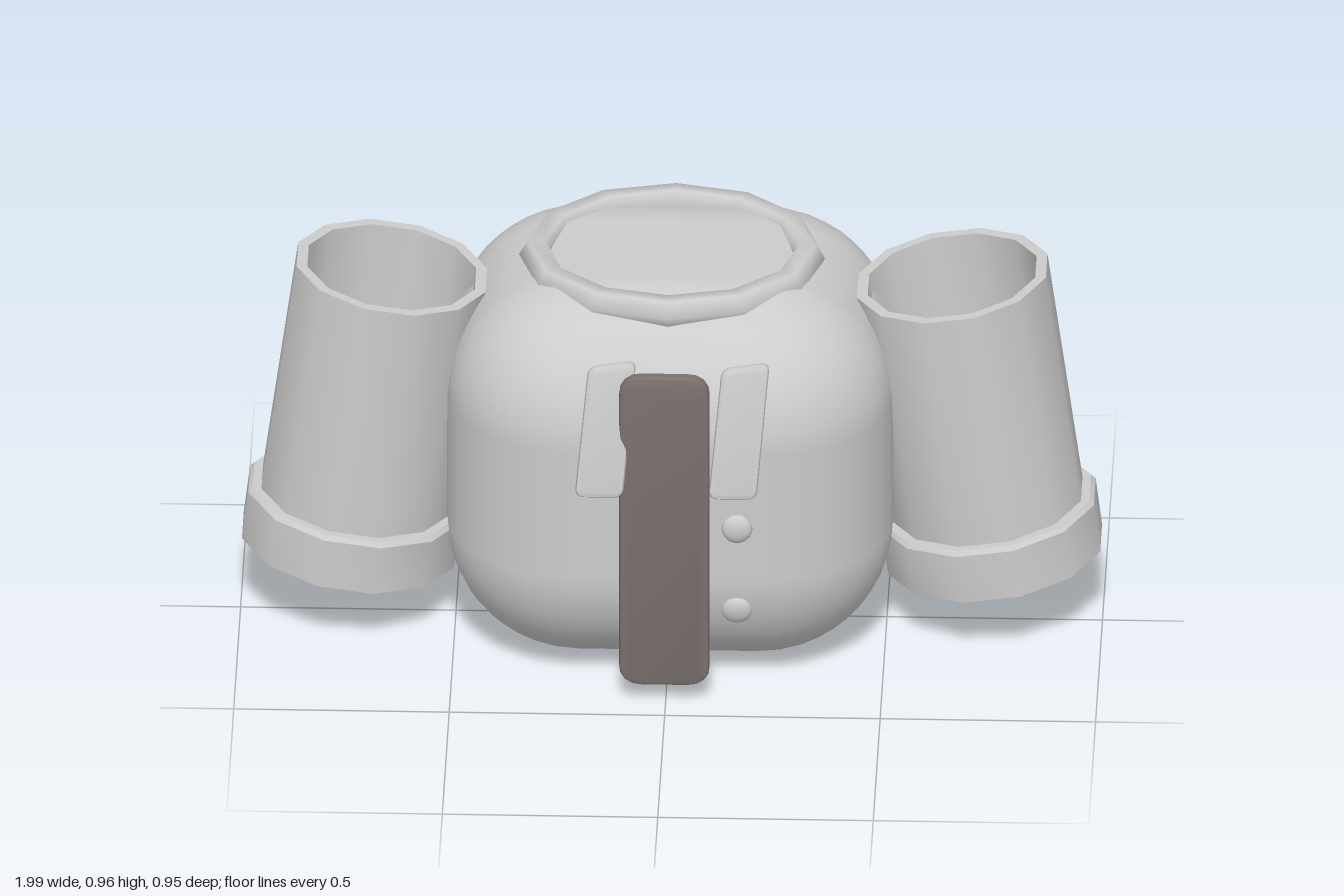
import * as THREE from 'three';
import { toCreasedNormals } from 'three/addons/utils/BufferGeometryUtils.js';
import { RoundedBoxGeometry } from 'three/addons/geometries/RoundedBoxGeometry.js';

const MID_Z = -0.032;
const cloth = new THREE.MeshStandardMaterial({ color: 0xcccccc });
const dark = new THREE.MeshStandardMaterial({ color: 0x7b716e });

function add(parent, name, geometry, material = cloth) {
  const mesh = new THREE.Mesh(geometry, material);
  mesh.name = name;
  parent.add(mesh);
  return mesh;
}

// Flat slab with rounded corners and softened edges, centred on the origin
function slab(w, h, depth, corner, bevel) {
  const x = w / 2 - bevel, y = h / 2 - bevel, r = corner;
  const s = new THREE.Shape();
  s.moveTo(-x + r, -y);
  s.lineTo(x - r, -y);
  s.quadraticCurveTo(x, -y, x, -y + r);
  s.lineTo(x, y - r);
  s.quadraticCurveTo(x, y, x - r, y);
  s.lineTo(-x + r, y);
  s.quadraticCurveTo(-x, y, -x, y - r);
  s.lineTo(-x, -y + r);
  s.quadraticCurveTo(-x, -y, -x + r, -y);
  const g = new THREE.ExtrudeGeometry(s, {
    depth: depth - 2 * bevel, bevelEnabled: true, bevelThickness: bevel,
    bevelSize: bevel, bevelSegments: 2, curveSegments: 4,
  });
  g.center();
  return toCreasedNormals(g, 0.7);
}

// Twelve-sided hollow tube, closed at both rims
function tube(profile) {
  const points = profile.map(([r, y]) => new THREE.Vector2(r, y));
  return toCreasedNormals(new THREE.LatheGeometry(points, 12, Math.PI / 12), 0.6);
}

export function createModel() {
  const model = new THREE.Group();
  model.name = 'jacket';

  // Rounded torso
  const body = add(model, 'body', new RoundedBoxGeometry(1.035, 0.945, 0.885, 5, 0.31));
  body.position.set(0, 0.4725, MID_Z);

  // Oval collar ring
  const ring = new THREE.TorusGeometry(0.315, 0.04, 6, 12);
  ring.rotateX(-Math.PI / 2);
  ring.scale(1, 1.04, 0.873);
  add(model, 'collar', ring).position.set(0, 0.923, MID_Z);

  // Open sleeves with thicker cuffs, flaring outwards
  const sleeveTube = tube([[0.203, 0], [0.229, 0], [0.229, 0.72], [0.203, 0.72], [0.203, 0]]);
  const cuffTube = tube([[0.196, 0.012], [0.215, 0], [0.257, 0], [0.259, 0.122], [0.25, 0.133],
    [0.215, 0.133], [0.196, 0.12], [0.196, 0.012]]);
  for (const side of [1, -1]) {
    const sleeve = new THREE.Group();
    sleeve.name = side > 0 ? 'leftSleeve' : 'rightSleeve';
    add(sleeve, 'sleeveTube', sleeveTube).position.y = 0.005;
    add(sleeve, 'cuff', cuffTube);
    sleeve.position.set(side * 0.75, 0.165, MID_Z);
    sleeve.rotation.z = side * 0.138;
    model.add(sleeve);
  }

  // Tie
  add(model, 'tie', slab(0.21, 0.81, 0.036, 0.04, 0.012), dark).position.set(-0.003, 0.45, 0.425);

  // Slanted lapels, both leaning the same way
  const lapelShape = slab(0.112, 0.32, 0.03, 0.012, 0.01);
  const p = lapelShape.attributes.position;
  for (let i = 0; i < p.count; i++) {
    const x = p.getX(i), y = p.getY(i);
    p.setX(i, x + 0.09 * y);
    if (y > 0) p.setY(i, y + 0.15 * x);
  }
  for (const [name, x] of [['leftLapel', 0.17], ['rightLapel', -0.14]]) {
    const lapel = add(model, name, lapelShape);
    lapel.position.set(x, 0.706, 0.421);
    lapel.rotation.x = -0.235;
  }

  // Buttons, the lower one following the curve of the torso
  const buttonShape = new THREE.SphereGeometry(0.036, 14, 10);
  buttonShape.scale(1, 1, 0.5);
  for (const [y, z, tilt] of [[0.45, 0.418, 0], [0.233, 0.412, 0.25]]) {
    const button = add(model, 'button', buttonShape);
    button.position.set(0.165, y, z);
    button.rotation.x = tilt;
  }

  return model;
}
